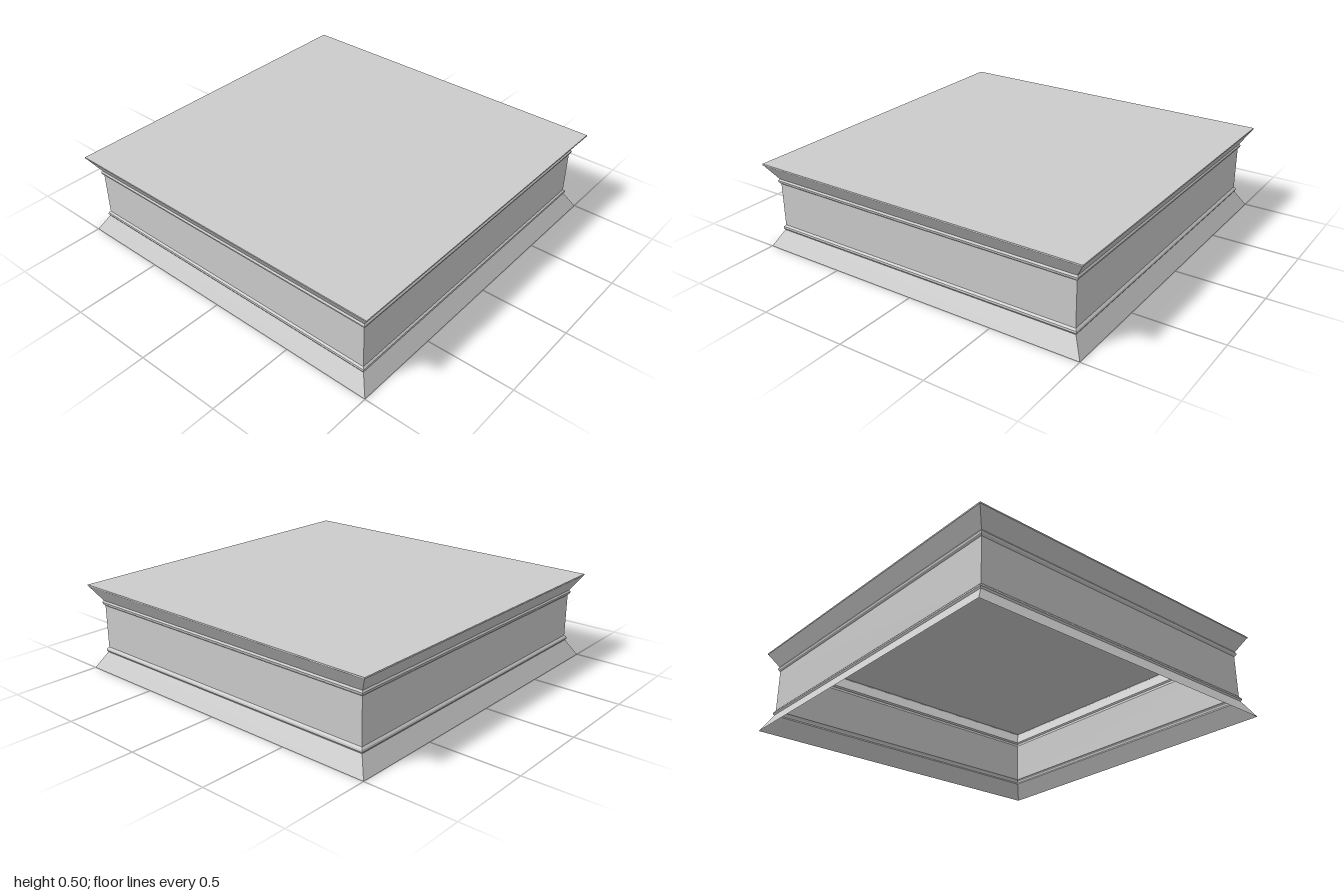
import * as THREE from 'three';

// Square loop swept from a [halfWidth, height] profile, with hard edges
function squareSweep(profile) {
  const points = profile.map(([r, y]) => new THREE.Vector2(r * Math.SQRT2, y));
  const geometry = new THREE.LatheGeometry(points, 4, Math.PI / 4).toNonIndexed();
  geometry.computeVertexNormals();
  return geometry;
}

export function createModel() {
  const group = new THREE.Group();
  const material = new THREE.MeshStandardMaterial({
    color: 0xcccccc, flatShading: true, side: THREE.DoubleSide,
  });
  const add = (name, geometry) => {
    const mesh = new THREE.Mesh(geometry, material);
    mesh.name = name;
    group.add(mesh);
    return mesh;
  };

  // Flared foot with a small bead where it meets the wall
  add('baseMoulding', squareSweep([[1, 0], [0.943, 0.095], [0.949, 0.105], [0.947, 0.115], [0.938, 0.125]]));

  // Thin upright walls, open underneath
  add('wall', squareSweep([[0.938, 0.125], [0.938, 0.375]]));

  // Matching flared cornice with a thin upright lip
  add('topMoulding', squareSweep([
    [0.938, 0.375], [0.947, 0.385], [0.949, 0.395], [0.943, 0.405], [0.997, 0.49], [1, 0.492], [1, 0.5],
  ]));

  // Flat top closing the shell
  const top = add('topPanel', new THREE.PlaneGeometry(2, 2));
  top.rotation.x = -Math.PI / 2;
  top.position.y = 0.5;

  return group;
}
